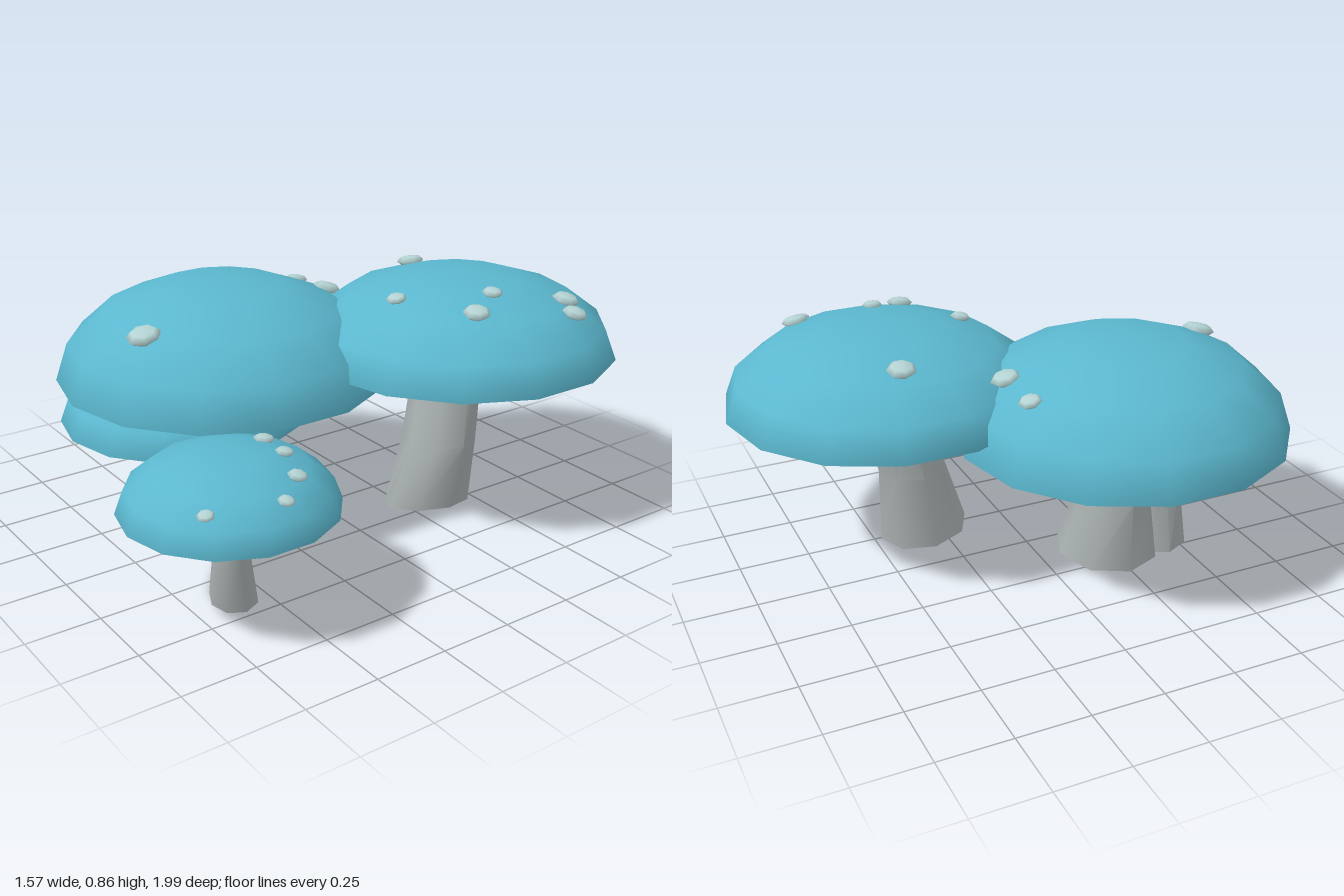
import * as THREE from 'three';
import { toCreasedNormals } from 'three/addons/utils/BufferGeometryUtils.js';

const SIDES = 14;

// Each mushroom: cap centre, radius, rim height and dome height;
// stem rings from bottom to top [x, y, z, rx, rz]; tilt of the stem's foot; spots [x, z, radius]
const MUSHROOMS = [
  {
    name: 'backMushroom', x: 0.21, z: -0.445, r: 0.555, rim: 0.59, h: 0.275,
    stem: [[0.23, 0.028, -0.315, 0.13, 0.165], [0.25, 0.28, -0.345, 0.135, 0.125], [0.205, 0.62, -0.425, 0.115, 0.12]],
    tilt: [0.15, 0.08],
    spots: [[-0.11, -0.49, 0.05], [0.24, -0.145, 0.036], [0.425, -0.405, 0.036],
      [0.49, -0.28, 0.047], [0.51, -0.665, 0.048], [0.585, -0.635, 0.045]],
  },
  {
    name: 'largeMushroom', x: -0.22, z: 0.255, r: 0.58, rim: 0.515, h: 0.34,
    stem: [[-0.185, 0.035, 0.23, 0.185, 0.185], [-0.205, 0.27, 0.245, 0.14, 0.125], [-0.22, 0.54, 0.25, 0.12, 0.12]],
    tilt: [0.06, -0.04],
    spots: [[-0.36, -0.155, 0.04], [-0.18, -0.16, 0.052], [-0.075, 0.635, 0.059]],
  },
  {
    name: 'lowMushroom', x: -0.17, z: 0.45, r: 0.415, rim: 0.415, h: 0.22,
    stem: [[-0.18, 0.03, 0.42, 0.135, 0.12], [-0.17, 0.25, 0.42, 0.105, 0.1], [-0.167, 0.44, 0.44, 0.098, 0.1]],
    tilt: [0.04, 0],
    spots: [[0.19, 0.37, 0.035]],
  },
  {
    name: 'smallMushroom', x: 0.45, z: 0.645, r: 0.345, rim: 0.373, h: 0.187,
    stem: [[0.415, 0.03, 0.62, 0.077, 0.08], [0.452, 0.2, 0.645, 0.06, 0.062], [0.45, 0.39, 0.652, 0.055, 0.055]],
    tilt: [-0.2, 0],
    spots: [[0.42, 0.5, 0.034], [0.525, 0.495, 0.03], [0.645, 0.53, 0.032], [0.72, 0.62, 0.027], [0.652, 0.845, 0.027]],
  },
];

function material(name, color) {
  const m = new THREE.MeshStandardMaterial({ color });
  m.name = name;
  return m;
}

// Bent, tapering stem: each row of a unit cylinder is moved onto its own ring
function stemGeometry(rings, tilt) {
  const geo = new THREE.CylinderGeometry(1, 1, 2, 8, 2);
  const pos = geo.attributes.position;
  for (let i = 0; i < pos.count; i++) {
    const row = Math.round(pos.getY(i) + 1);
    const [x, y, z, rx, rz] = rings[row];
    const dx = pos.getX(i) * rx;
    const dz = pos.getZ(i) * rz;
    const lean = row === 0 ? dx * tilt[0] + dz * tilt[1] : 0;
    pos.setXYZ(i, x + dx, y + lean, z + dz);
  }
  return toCreasedNormals(geo, 0.85);
}

export function createModel() {
  const capMat = material('teal cap', 0x5bb7ce);
  const stemMat = material('grey stem', 0xa8afaf);
  const spotMat = material('pale spot', 0xb4d2d2);
  const model = new THREE.Group();
  model.name = 'mushroomCluster';

  const add = (group, name, geo, mat) => {
    const mesh = new THREE.Mesh(geo, mat);
    mesh.name = name;
    group.add(mesh);
    return mesh;
  };

  for (const m of MUSHROOMS) {
    const group = new THREE.Group();
    group.name = m.name;
    model.add(group);

    // Domed cap
    const dome = new THREE.SphereGeometry(1, SIDES, 4, Math.PI / 2, Math.PI * 2, 0, Math.PI / 2);
    dome.scale(m.r, m.h, m.r);
    add(group, 'cap', dome, capMat).position.set(m.x, m.rim, m.z);

    // Flat underside
    const disc = new THREE.CircleGeometry(m.r, SIDES, Math.PI / 2);
    disc.rotateX(Math.PI / 2);
    add(group, 'capUnderside', disc, stemMat).position.set(m.x, m.rim, m.z);

    add(group, 'stem', stemGeometry(m.stem, m.tilt), stemMat);

    // Flattened spots resting on the dome, leaning a little with its slope
    for (const [x, z, r] of m.spots) {
      const dx = (x - m.x) / m.r;
      const dz = (z - m.z) / m.r;
      const up = Math.sqrt(Math.max(0, 1 - dx * dx - dz * dz));
      const spot = add(group, 'spot', new THREE.SphereGeometry(1, 7, 4), spotMat);
      spot.scale.set(r, r * 0.4, r);
      spot.position.set(x, m.rim + m.h * up + 0.004, z);
      const normal = new THREE.Vector3(dx * 0.35, 1, dz * 0.35).normalize();
      spot.quaternion.setFromUnitVectors(new THREE.Vector3(0, 1, 0), normal);
    }
  }
  return model;
}
